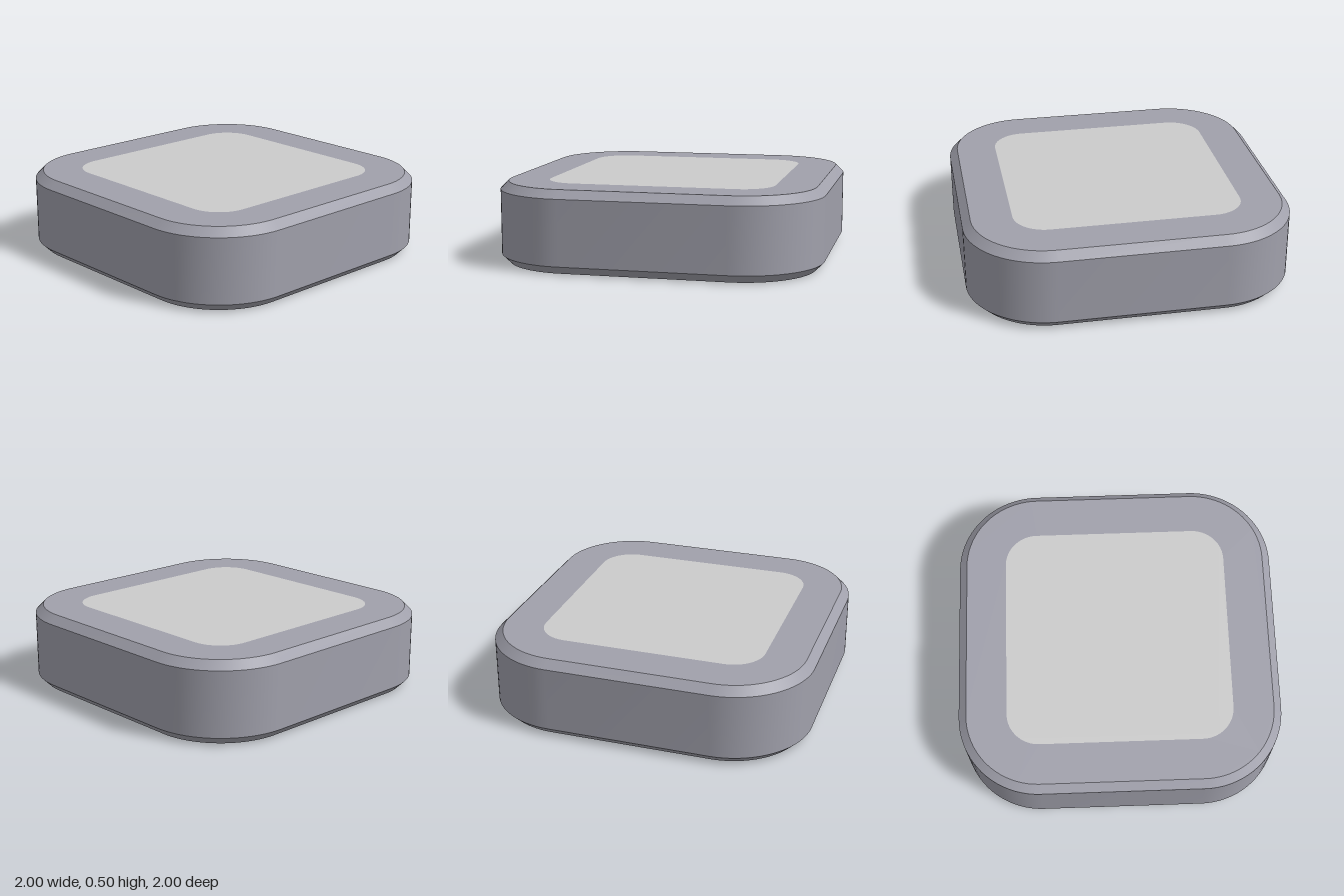
import * as THREE from 'three';
import { toCreasedNormals } from 'three/addons/utils/BufferGeometryUtils.js';

const CORNER = 0.5; // corner arc centres, shared by every outline
const HEIGHT = 0.5, CHAMFER = 0.05, STEPS = 20;

// Rounded square outline, counter-clockwise
function outline(half) {
  const points = [];
  for (let k = 0; k < 4; k++) {
    const cx = k === 0 || k === 3 ? CORNER : -CORNER;
    const cy = k < 2 ? CORNER : -CORNER;
    for (let i = 0; i <= STEPS; i++) {
      const a = (k + i / STEPS) * Math.PI / 2;
      points.push(new THREE.Vector2(cx + (half - CORNER) * Math.cos(a), cy + (half - CORNER) * Math.sin(a)));
    }
  }
  return points;
}

// Flat horizontal face; dir 1 looks up, -1 looks down
function face(half, y, dir, holeHalf) {
  const shape = new THREE.Shape(outline(half));
  if (holeHalf) shape.holes.push(new THREE.Path(outline(holeHalf).reverse()));
  return new THREE.ShapeGeometry(shape).rotateX(-dir * Math.PI / 2).translate(0, y, 0);
}

// Side wall lofted through [half width, y] sections from bottom to top
function wall(sections) {
  const positions = [], index = [];
  for (const [half, y] of sections) for (const p of outline(half)) positions.push(p.x, y, -p.y);
  const n = 4 * (STEPS + 1);
  for (let s = 0; s < sections.length - 1; s++) {
    for (let i = 0; i < n; i++) {
      const a = s * n + i, b = s * n + (i + 1) % n;
      index.push(a, b, b + n, a, b + n, a + n);
    }
  }
  const geometry = new THREE.BufferGeometry();
  geometry.setAttribute('position', new THREE.Float32BufferAttribute(positions, 3));
  geometry.setIndex(index);
  return toCreasedNormals(geometry, Math.PI / 6);
}

export function createModel() {
  const group = new THREE.Group();
  group.name = 'roundedTile';
  const bodyMaterial = new THREE.MeshStandardMaterial({ color: 0xa0a0ab });
  const panelMaterial = new THREE.MeshStandardMaterial({ color: 0xcccccc });
  const add = (name, geometry, material) => {
    const mesh = new THREE.Mesh(geometry, material);
    mesh.name = name;
    group.add(mesh);
  };

  // Body: chamfered side wall, underside and top border
  const inner = 1 - CHAMFER;
  add('sideWall', wall([[inner, 0], [1, CHAMFER], [1, HEIGHT - CHAMFER], [inner, HEIGHT]]), bodyMaterial);
  add('underside', face(inner, 0, -1), bodyMaterial);
  add('topBorder', face(inner, HEIGHT, 1, 0.7), bodyMaterial);

  // Flush panel set into the top
  add('topPanel', face(0.7, HEIGHT, 1), panelMaterial);
  return group;
}
